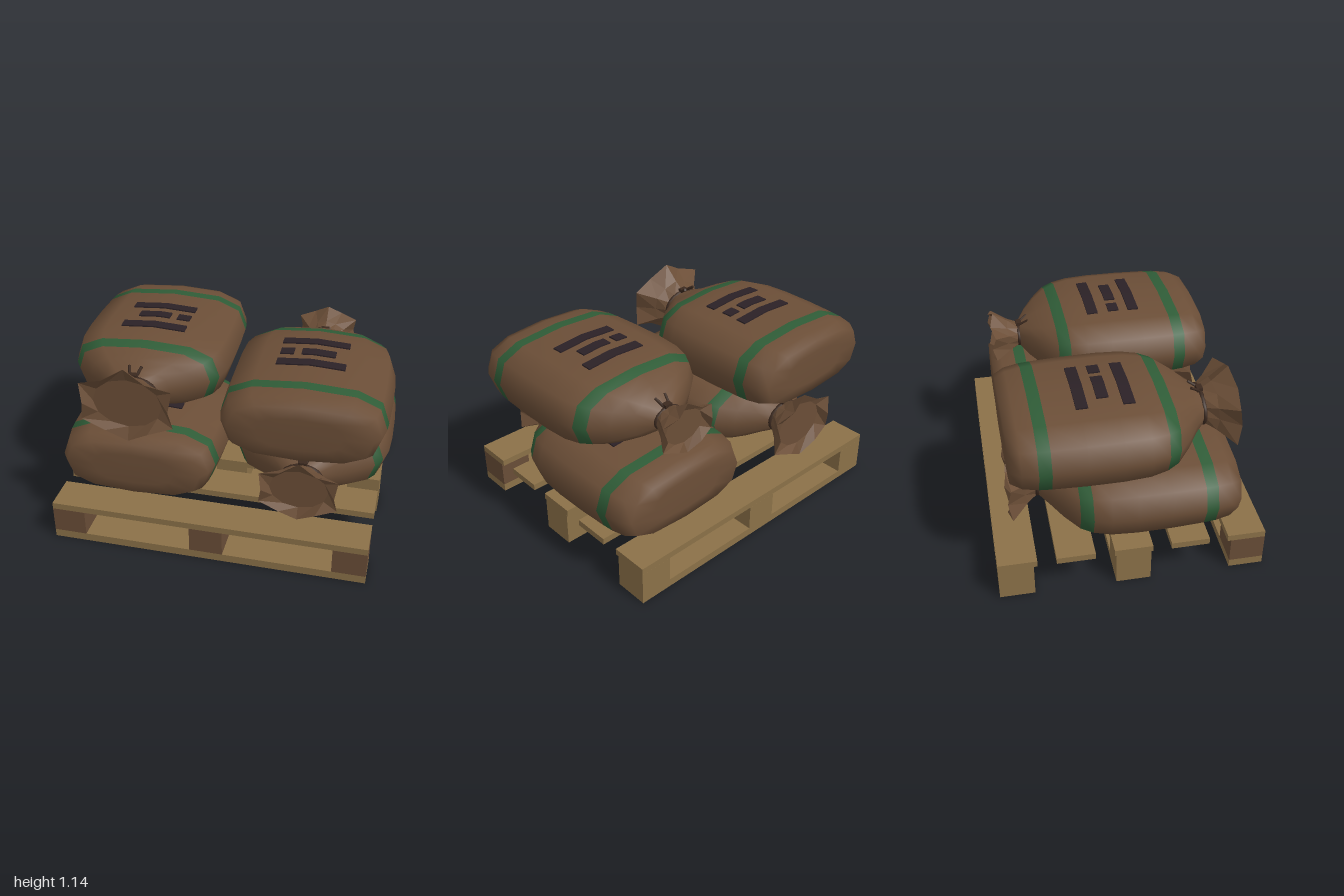
import * as THREE from 'three';

const SIDES = 12;
const POWER = 0.7; // squareness of the bag cross-section

function makeMaterial(name, color) {
  const m = new THREE.MeshStandardMaterial({ color });
  m.name = name;
  return m;
}

const mats = {
  wood: makeMaterial('pale wood', 0x8b7148),
  block: makeMaterial('brown block', 0x694d37),
  sack: makeMaterial('brown sackcloth', 0x6b4e37),
  band: makeMaterial('green band', 0x2f5c37),
  print: makeMaterial('dark print', 0x2b2126),
  cord: makeMaterial('dark cord', 0x3b291f),
};

const sPow = (v, p) => Math.sign(v) * Math.pow(Math.abs(v), p);

// Skin over rings; ring(i, j) gives the point, groupOf(i) the material slot of strip i
function loft(count, ring, groupOf = () => 0) {
  const pos = [], idx = [];
  const geo = new THREE.BufferGeometry();
  for (let i = 0; i < count; i++)
    for (let j = 0; j < SIDES; j++) pos.push(...ring(i, j));
  for (let i = 0; i < count - 1; i++) {
    geo.addGroup(idx.length, SIDES * 6, groupOf(i));
    for (let j = 0; j < SIDES; j++) {
      const a = i * SIDES + j, b = i * SIDES + (j + 1) % SIDES;
      idx.push(a, b, b + SIDES, a, b + SIDES, a + SIDES);
    }
  }
  geo.setAttribute('position', new THREE.Float32BufferAttribute(pos, 3));
  geo.setIndex(idx);
  return geo;
}

function addMesh(parent, name, geo, mat, x = 0, y = 0, z = 0) {
  const mesh = new THREE.Mesh(geo, mat);
  mesh.name = name;
  mesh.position.set(x, y, z);
  parent.add(mesh);
  return mesh;
}

// Bag profile from the sewn end to the neck: z, half width, half height
const PROFILE = [
  [-0.668, 0, 0], [-0.668, 0.24, 0.1], [-0.662, 0.41, 0.17], [-0.6, 0.452, 0.195],
  [-0.512, 0.471, 0.207], [-0.442, 0.477, 0.21], [-0.25, 0.485, 0.216], [-0.05, 0.486, 0.218],
  [0.1, 0.478, 0.212], [0.2, 0.45, 0.2], [0.27, 0.408, 0.183], [0.35, 0.31, 0.148], [0.42, 0.2, 0.11],
];

// Height of the bag's upper surface, used to lay the print on it
function topHeight(x, z) {
  let i = 1;
  while (PROFILE[i + 1][0] < z) i++;
  const [z0, w0, h0] = PROFILE[i], [z1, w1, h1] = PROFILE[i + 1];
  const t = (z - z0) / (z1 - z0);
  const w = w0 + (w1 - w0) * t, h = h0 + (h1 - h0) * t;
  const kneeX = w * Math.pow(0.5, POWER), kneeY = h * Math.pow(Math.cos(Math.PI / 6), POWER);
  return h + (kneeY - h) * Math.min(1, Math.abs(x) / kneeX);
}

// Printed bars: x, z, width
const BARS = [[0, -0.235, 0.4], [-0.03, -0.11, 0.2], [0.155, -0.11, 0.08], [0, 0.025, 0.4]];

function makeBag(name, rimW, rimH) {
  const bag = new THREE.Group();
  bag.name = name;
  const neckW = rimW * 0.46, neckH = rimH * 0.43;

  // Body with two green bands
  const rows = [...PROFILE, [0.48, neckW, neckH]];
  const body = loft(rows.length, (i, j) => {
    const a = (j / SIDES) * Math.PI * 2, [z, w, h] = rows[i];
    const p = i === rows.length - 1 ? 1 : POWER;
    return [w * sPow(Math.cos(a), p), h * sPow(Math.sin(a), p), z];
  }, (i) => (i === 4 || i === 9 ? 1 : 0));
  body.computeVertexNormals();
  addMesh(bag, 'bagBody', body, [mats.sack, mats.band]);

  // Flared mouth: neck, pointed rim, sunken disc
  const mouthRows = [[0.48, 0.45, 0], [0.55, 0.64, 0.5], [0.65, 1, 1], [0.61, 0.69, 0], [0.61, 0, 0]];
  let mouth = loft(mouthRows.length, (i, j) => {
    const a = (j / SIDES) * Math.PI * 2, [z, s, fold] = mouthRows[i];
    const point = j % 2 === 1; // six points, one straight up
    const r = s * (point ? 1 + 0.06 * fold : 1 - 0.15 * fold);
    return [rimW * r * Math.cos(a), rimH * r * Math.sin(a), z + (point ? -0.012 : 0.012) * fold];
  });
  mouth = mouth.toNonIndexed();
  mouth.computeVertexNormals();
  addMesh(bag, 'bagMouth', mouth, [mats.sack]);

  // Cord around the neck with two loose ends
  const cord = new THREE.TorusGeometry(1, 0.11, 6, 20);
  cord.scale(neckW, neckH, 0.12);
  addMesh(bag, 'cord', cord, mats.cord, 0, 0, 0.48);
  const knot = new THREE.BoxGeometry(0.05, 0.03, 0.035);
  addMesh(bag, 'cordKnot', knot, mats.cord, 0, neckH + 0.008, 0.475);
  for (const s of [-1, 1]) {
    const end = addMesh(bag, 'cordEnd', new THREE.CylinderGeometry(0.009, 0.009, 0.07, 6),
      mats.cord, s * 0.028, neckH + 0.025, 0.445);
    end.rotation.set(-1.0, 0, -s * 0.25);
  }

  // Printed bars that follow the cloth
  for (const [x, z, w] of BARS) {
    const bar = new THREE.BoxGeometry(w, 0.008, 0.067, 8, 1, 2);
    const p = bar.attributes.position;
    for (let i = 0; i < p.count; i++) {
      const px = p.getX(i) + x, pz = p.getZ(i) + z;
      p.setXYZ(i, px, p.getY(i) + topHeight(px, pz) + 0.005, pz);
    }
    bar.computeVertexNormals();
    addMesh(bag, 'printedBar', bar, mats.print);
  }
  return bag;
}

function makePallet() {
  const pallet = new THREE.Group();
  pallet.name = 'pallet';
  // Runners: bottom board and three blocks each
  for (const z of [-0.683, 0, 0.683]) {
    addMesh(pallet, 'bottomBoard', new THREE.BoxGeometry(1.9, 0.05, 0.205), mats.wood, 0, 0.025, z);
    for (const x of [-0.85, 0, 0.85])
      addMesh(pallet, 'block', new THREE.BoxGeometry(0.2, 0.16, 0.205),
        z > 0 ? mats.block : mats.wood, x, 0.13, z);
  }
  // Deck boards
  for (let i = -2; i <= 2; i++)
    addMesh(pallet, 'deckBoard', new THREE.BoxGeometry(1.9, 0.04, 0.226), mats.wood, 0, 0.23, i * 0.336);
  return pallet;
}

export function createModel() {
  const model = new THREE.Group();
  model.name = 'loadedPallet';
  model.add(makePallet());

  // Bags: name, x, y, z, turn, mouth half width, mouth half height
  const bags = [
    ['lowerRightBag', -0.48, 0.478, -0.025, Math.PI, 0.265, 0.21],
    ['lowerLeftBag', 0.51, 0.472, 0, 0.005, 0.25, 0.185],
    ['upperRightBag', -0.51, 0.9, -0.02, 0.015, 0.3, 0.225],
    ['upperLeftBag', 0.495, 0.883, 0, Math.PI + 0.02, 0.2, 0.15],
  ];
  for (const [name, x, y, z, turn, rimW, rimH] of bags) {
    const bag = makeBag(name, rimW, rimH);
    bag.position.set(x, y, z);
    bag.rotation.y = turn;
    model.add(bag);
  }
  return model;
}
